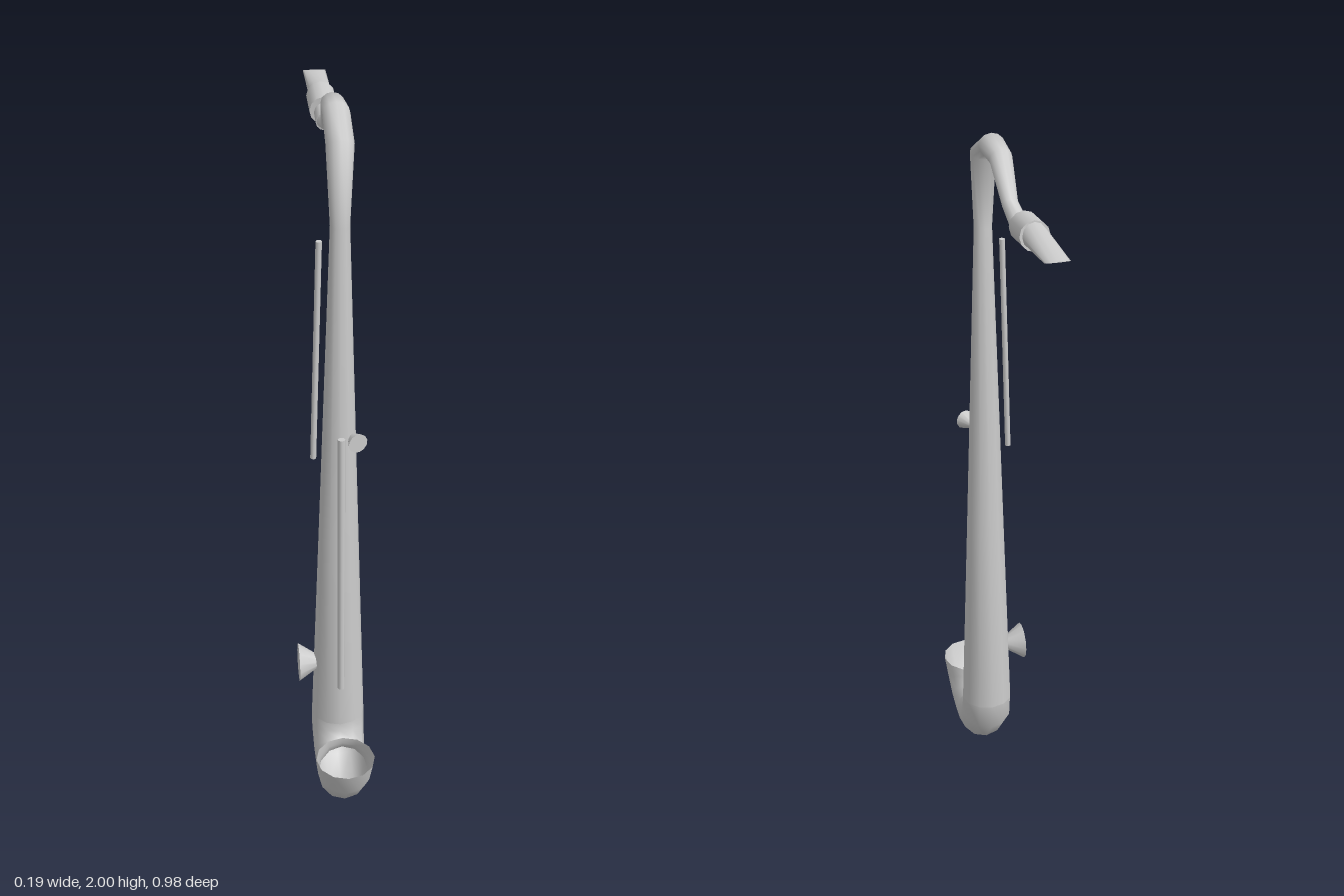
import * as THREE from 'three';

const CX = 0.012; // centre line of the instrument
const SIDES = 12;
const material = new THREE.MeshStandardMaterial({ color: 0xcccccc, side: THREE.DoubleSide });

function add(parent, name, geometry) {
  const mesh = new THREE.Mesh(geometry, material);
  mesh.name = name;
  parent.add(mesh);
  return mesh;
}

// Open tube through elliptical rings: [y, z, in-plane radius, x radius, heading in degrees from +z towards +y]
function sweep(rings) {
  const pos = [], index = [];
  rings.forEach(([y, z, r, rx, heading], i) => {
    const h = THREE.MathUtils.degToRad(heading);
    for (let j = 0; j < SIDES; j++) {
      const a = (j / SIDES) * Math.PI * 2;
      const s = r * Math.sin(a);
      pos.push(CX + rx * Math.cos(a), y + s * Math.cos(h), z - s * Math.sin(h));
      if (i === rings.length - 1) continue;
      const p = i * SIDES + j, q = i * SIDES + ((j + 1) % SIDES);
      index.push(p, q, p + SIDES, q, q + SIDES, p + SIDES);
    }
  });
  const g = new THREE.BufferGeometry();
  g.setAttribute('position', new THREE.Float32BufferAttribute(pos, 3));
  g.setIndex(index);
  g.computeVertexNormals();
  return g;
}

// Capped cylinder or cone from point a (radius ra) to point b (radius rb)
function rod(parent, name, a, b, ra, rb = ra, sides = SIDES) {
  const from = new THREE.Vector3(...a), to = new THREE.Vector3(...b);
  const dir = to.clone().sub(from);
  const mesh = add(parent, name, new THREE.CylinderGeometry(rb, ra, dir.length(), sides));
  mesh.position.copy(from).add(to).multiplyScalar(0.5);
  mesh.quaternion.setFromUnitVectors(new THREE.Vector3(0, 1, 0), dir.normalize());
  return mesh;
}

export function createModel() {
  const model = new THREE.Group();
  model.name = 'saxophone';

  // Long conical body running into the curved neck
  add(model, 'bodyAndNeck', sweep([
    [0.20, 0.193, 0.073, 0.075, 90],
    [0.80, 0.193, 0.054, 0.055, 90],
    [1.72, 0.194, 0.023, 0.025, 90],
    [1.925, 0.186, 0.026, 0.035, 127],
    [1.97, 0.098, 0.029, 0.034, 173],
    [1.963, 0.008, 0.026, 0.030, 200],
    [1.876, -0.08, 0.019, 0.021, 215],
    [1.851, -0.172, 0.021, 0.024, 178],
  ]));

  // Bow turning up into the open bell
  add(model, 'bowAndBell', sweep([
    [0.20, 0.193, 0.073, 0.075, -90],
    [0.145, 0.200, 0.074, 0.075, -65],
    [0.095, 0.241, 0.075, 0.073, -32],
    [0.076, 0.302, 0.074, 0.071, 0],
    [0.098, 0.355, 0.074, 0.072, 34],
    [0.146, 0.389, 0.075, 0.076, 63],
    [0.20, 0.408, 0.084, 0.082, 90],
  ]));

  // Mouthpiece: cork, collar and wedge-shaped beak
  const mouthpiece = new THREE.Group();
  mouthpiece.name = 'mouthpiece';
  model.add(mouthpiece);
  rod(mouthpiece, 'cork', [CX, 1.851, -0.165], [CX, 1.865, -0.23], 0.026);
  rod(mouthpiece, 'collar', [CX, 1.865, -0.21], [CX, 1.874, -0.305], 0.038);
  add(mouthpiece, 'beak', sweep([
    [1.874, -0.30, 0.034, 0.031, 180],
    [1.88, -0.49, 0.001, 0.031, 180],
  ]));

  // Key rods along the front and the right side
  rod(model, 'frontKeyRod', [CX, 0.35, 0.283], [CX, 1.15, 0.257], 0.010, 0.010, 8);
  rod(model, 'sideKeyRod', [-0.056, 1.06, 0.194], [-0.04, 1.68, 0.194], 0.008, 0.008, 8);

  // Flared key cups
  rod(model, 'lowerKeyCup', [-0.045, 0.38, 0.195], [-0.1, 0.38, 0.195], 0.018, 0.054);
  rod(model, 'upperKeyCup', [0.042, 1.13, 0.21], [0.056, 1.13, 0.248], 0.010, 0.027);

  return model;
}
